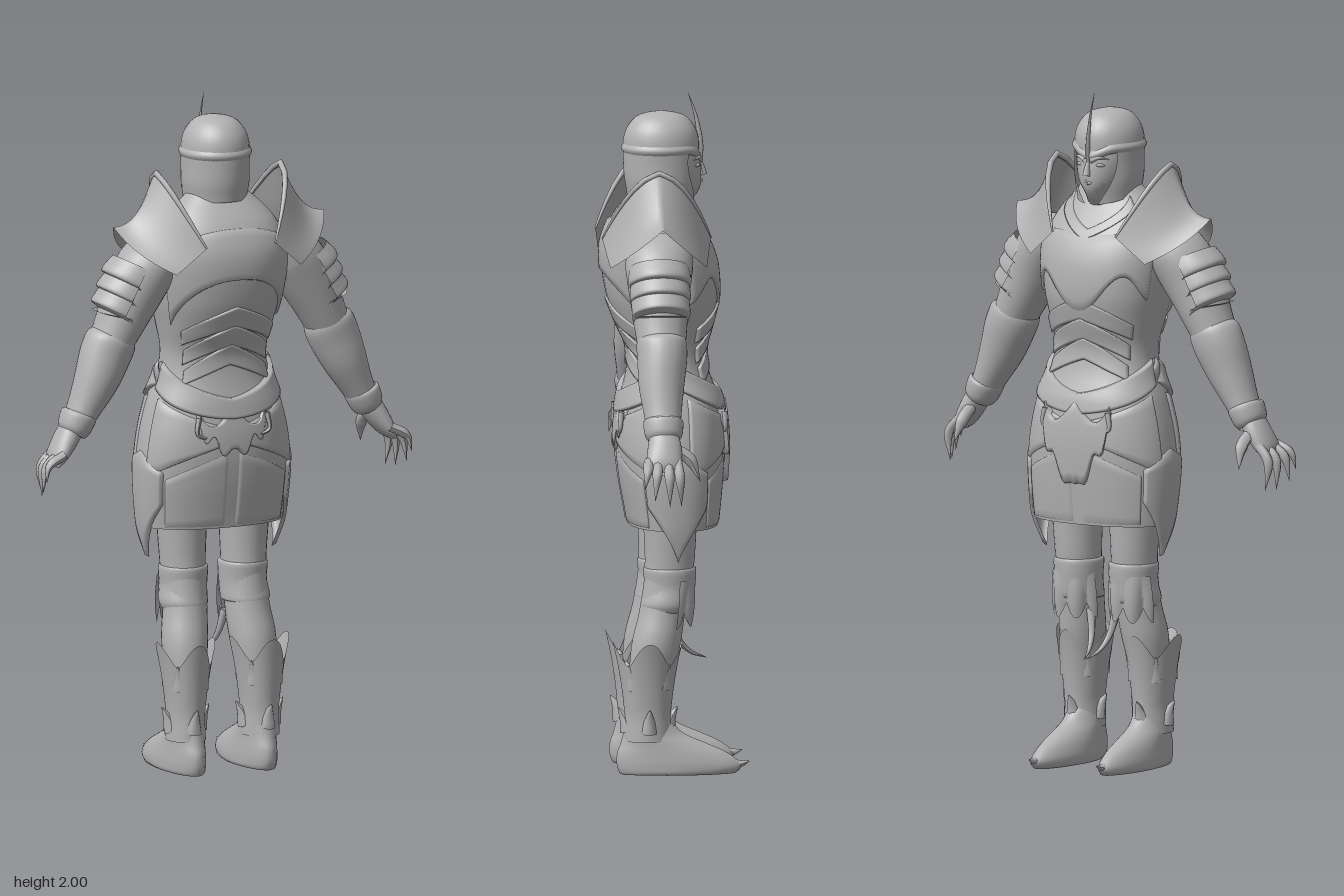
import * as THREE from 'three';

const { sin, cos, abs, PI, min, max, hypot } = Math;
const lerp = THREE.MathUtils.lerp;
const steel = new THREE.MeshStandardMaterial({ color: 0xb2b2b2, side: THREE.DoubleSide });
steel.name = 'steel grey';

// Smooth surface from fn(u, v) -> [x, y, z]; closed joins u = 1 to u = 0
function surface(name, nu, nv, fn, closed = false) {
  const pos = [], idx = [], cols = closed ? nu : nu + 1;
  for (let j = 0; j <= nv; j++)
    for (let i = 0; i < cols; i++) pos.push(...fn(i / nu, j / nv));
  for (let j = 0; j < nv; j++)
    for (let i = 0; i < nu; i++) {
      const a = j * cols + i, b = j * cols + (i + 1) % cols;
      idx.push(a, a + cols, b, b, a + cols, b + cols);
    }
  const g = new THREE.BufferGeometry();
  g.setAttribute('position', new THREE.Float32BufferAttribute(pos, 3));
  g.setIndex(idx);
  g.computeVertexNormals();
  const m = new THREE.Mesh(g, steel);
  m.name = name;
  return m;
}

// Catmull-Rom blend of table rows
function blend(rows, k, t) {
  const r = i => rows[max(0, min(rows.length - 1, i))];
  return rows[k].map((_, c) => {
    const [a, b, d, e] = [r(k - 1)[c], r(k)[c], r(k + 1)[c], r(k + 2)[c]];
    return 0.5 * (2 * b + (d - a) * t + (2 * a - 5 * b + 4 * d - e) * t * t + (3 * b - a - 3 * d + e) * t ** 3);
  });
}
const along = (rows, v) => {
  const s = v * (rows.length - 1), k = min(Math.floor(s), rows.length - 2);
  return blend(rows, k, s - k);
};

// Tube of oval rings [x, y, z, width radius, depth radius] square to its path
function loft(name, rows, a0 = 0, a1 = 2 * PI) {
  const full = a1 - a0 > 6.28;
  return surface(name, full ? 28 : 16, (rows.length - 1) * 4, (u, v) => {
    const [x, y, z, rx, rz] = along(rows, v);
    const p = along(rows, max(0, v - 0.04)), q = along(rows, min(1, v + 0.04));
    const dx = q[0] - p[0], dy = q[1] - p[1], l = hypot(dx, dy) || 1, a = lerp(a0, a1, u);
    const s = sin(a) * max(rx, 0.0005);
    return [x - s * dy / l, y + s * dx / l, z - cos(a) * max(rz, 0.0005)];
  }, full);
}

// Curved tapering spike; flat narrows it in x
function spike(name, pts, r, flat = 1, shape = t => (1 - t) ** 0.8) {
  const c = new THREE.CatmullRomCurve3(pts.map(p => new THREE.Vector3(...p)));
  const g = new THREE.TubeGeometry(c, 12, 1, 8);
  const P = g.attributes.position, w = new THREE.Vector3();
  for (let i = 0; i < P.count; i++) {
    const t = Math.floor(i / 9) / 12, o = c.getPointAt(t);
    w.fromBufferAttribute(P, i).sub(o).multiplyScalar(r * max(shape(t), 0.02));
    w.x *= flat;
    P.setXYZ(i, o.x + w.x, o.y + w.y, o.z + w.z);
  }
  g.computeVertexNormals();
  const m = new THREE.Mesh(g, steel);
  m.name = name;
  return m;
}

// Body profile: height, half width, front z, back z
const BODY = [
  [0.60, 0.196, -0.115, 0.11], [0.73, 0.221, -0.135, 0.13], [0.90, 0.232, -0.15, 0.158], [1.00, 0.222, -0.152, 0.163],
  [1.10, 0.198, -0.14, 0.15], [1.18, 0.168, -0.11, 0.132], [1.25, 0.16, -0.10, 0.13], [1.32, 0.172, -0.118, 0.16],
  [1.40, 0.19, -0.135, 0.19], [1.50, 0.203, -0.13, 0.205], [1.57, 0.202, -0.105, 0.2], [1.64, 0.17, -0.06, 0.17],
  [1.69, 0.125, -0.03, 0.13], [1.73, 0.085, -0.02, 0.10]];
function body(a, y, off = 0) {
  let k = 0;
  while (k < BODY.length - 2 && y > BODY[k + 1][0]) k++;
  const [, rx, f, b] = blend(BODY, k, (y - BODY[k][0]) / (BODY[k + 1][0] - BODY[k][0]));
  const round = w => Math.sign(w) * abs(w) ** 0.88;
  return [(rx + off) * round(sin(a)), y, (f + b) / 2 - ((b - f) / 2 + off) * round(cos(a))];
}

// Raised plate on the body between two edges; w runs -1..1 across it
function plate(name, mid, half, bottom, top, off) {
  return surface(name, 32, 10, (u, v) => {
    const w = u * 2 - 1, edge = u === 0 || u === 1 || v === 0 || v === 1;
    const vv = v === 0 || v === 1 ? v : lerp(0.02, 0.98, (v - 0.1) / 0.8);
    return body(mid + half * w, lerp(bottom(w), top(w), vv), edge ? -0.004 : off);
  });
}

function makeTorso() {
  const g = new THREE.Group();
  g.name = 'torso';
  g.add(surface('torsoAndSkirt', 48, 50, (u, v) => body(u * 2 * PI, lerp(0.73, 1.73, v)), true));
  for (const [side, mid] of [['front', 0], ['back', PI]]) {
    const front = mid === 0;
    // Upper plate with an arched lower edge
    g.add(plate(side + 'ChestPlate', mid, 1.25, w => front ? 1.41 - 0.05 * cos(w * 6) + 0.03 * w * w : 1.48 - 0.15 * w * w,
      w => 1.63 - 0.05 * (1 - abs(w)) * front - 0.06 * w * w, 0.008));
    // Pointed bands over the waist
    for (let i = 0; i < 3; i++)
      g.add(plate(side + 'WaistBand', mid, 1.0 - i * 0.05, w => 1.335 - i * 0.06 - 0.06 * abs(w),
        w => 1.4 - i * 0.06 - 0.08 * abs(w), 0.007));
    // Sweeping hip belt
    g.add(plate(side + 'Belt', mid, PI / 2, w => 1.06 + 0.09 * abs(w) ** 1.5, w => 1.12 + 0.1 * abs(w) ** 1.1, 0.014));
    // Hanging scrolled ornament
    g.add(plate(side + 'Ornament', mid, 0.52, w => (front ? 0.83 : 0.95) + (front ? 0.2 : 0.09) * abs(w) + 0.02 * cos(w * 14),
      w => 1.1 - 0.06 * abs(sin(w * PI)), front ? 0.018 : 0.009));
    // Skirt panels
    for (const s of [-1, 1]) {
      g.add(plate(side + 'UpperSkirtPanel', mid + s * 0.75, 0.62, w => 0.93 - 0.05 * s * w, w => 1.08 + 0.04 * s * w, 0.006));
      g.add(plate(side + 'LowerSkirtPanel', mid + s * 0.5, 0.46, () => 0.735, w => 0.92 - 0.04 * s * w, 0.003));
      // Curled scroll beside the ornament
      const z = body(mid + s * 0.3, 1.03, 0.006)[2];
      g.add(spike(side + 'Scroll', [[s * 0.11, 1.07, z * 0.98], [s * 0.115, 1.02, z], [s * 0.08, 1.01, z], [s * 0.072, 1.04, z]], 0.009));
    }
  }
  for (const s of [-1, 1]) // Pointed side panels and belt tips
    g.add(plate('sideSkirtPanel', s * PI / 2, 0.6, w => 0.635 + 0.17 * abs(w) ** 0.8, w => 0.96 - 0.06 * abs(w), 0.009),
      spike('beltTip', [[s * 0.165, 1.16, 0.01], [s * 0.18, 1.2, 0.01], [s * 0.172, 1.225, 0.01]], 0.025, 0.6));
  // Neckline
  g.add(plate('collar', 0, 0.9, w => 1.57 + 0.1 * abs(w), w => 1.6 + 0.1 * abs(w), 0.006));
  return g;
}

function makeHead() {
  const g = new THREE.Group();
  g.name = 'head';
  g.add(loft('face', [[0, 1.64, 0.04, 0.06, 0.06], [0, 1.7, 0.01, 0.045, 0.085], [0, 1.74, 0.012, 0.07, 0.1],
    [0, 1.8, 0.02, 0.085, 0.106], [0, 1.87, 0.03, 0.09, 0.1]]));
  const shell = [[0.092, 0.1], [0.099, 0.108], [0.099, 0.111], [0.1, 0.112]];
  // Cheek and neck guard open around the face
  g.add(surface('helmetGuard', 40, 12, (u, v) => {
    const gap = 0.25 + 0.6 * sin(min(1, v * 1.4) * PI / 2), a = lerp(gap, 2 * PI - gap, u), [rx, rz] = along(shell, v);
    return [rx * sin(a), lerp(1.7, 1.85, v) - 0.03 * (1 - v) * max(0, cos(a)), 0.03 - rz * cos(a)];
  }));
  g.add(loft('helmetDome', [[0, 1.83, 0.03, 0.1, 0.112], [0, 1.87, 0.03, 0.097, 0.11], [0, 1.905, 0.03, 0.084, 0.096],
    [0, 1.935, 0.03, 0.054, 0.064], [0, 1.948, 0.03, 0, 0]]));
  // Brow band dips at the front
  g.add(surface('browBand', 48, 6, (u, v) => {
    const a = u * 2 * PI, r = 0.006 * sin(v * PI);
    return [(0.1 + r) * sin(a), 1.826 + v * 0.026 - 0.025 * max(0, cos(a)) ** 8, 0.03 - (0.111 + r) * cos(a)];
  }, true));
  g.add(spike('crest', [[0, 1.8, -0.08], [0, 1.84, -0.085], [0, 1.92, -0.075], [0, 2.0, -0.05]], 0.012, 0.5));
  g.add(spike('nose', [[0, 1.757, -0.093], [0, 1.775, -0.09], [0, 1.82, -0.08]], 0.013, 0.9));
  for (const s of [-1, 1]) {
    g.add(spike('brow', [[s * 0.01, 1.802, -0.085], [s * 0.035, 1.812, -0.079], [s * 0.06, 1.806, -0.06]], 0.008));
    g.add(spike('eye', [[s * 0.02, 1.787, -0.08], [s * 0.034, 1.79, -0.076], [s * 0.05, 1.787, -0.066]], 0.006, 1, t => sin(PI * t)));
    g.add(spike('lips', [[0, 1.738 + s * 0.003, -0.087], [s * 0.02, 1.737, -0.082]], 0.006));
  }
  return g;
}

function makeArm() {
  const g = new THREE.Group();
  g.name = 'arm';
  // Flared shoulder guard: arched inner rim sweeping to a rounded outer point
  const rimPoint = t => {
    const q = 1 - t * t;
    return [0.11 + 0.09 * q, 1.585 + 0.17 * q + 0.035 * (1 - abs(t)), 0.053 + t * 0.16];
  };
  g.add(surface('shoulderGuard', 32, 12, (u, v) => {
    const t = u * 2 - 1, k = 1 - abs(t), q = 1 - t * t, [x, y, z] = rimPoint(t);
    return [lerp(x, 0.2 + 0.125 * q + 0.015 * k ** 4, v), lerp(y, 1.51 + 0.13 * k, v) - 0.045 * sin(v * PI) * q,
      lerp(z, 0.055 + t * 0.142, v)];
  }));
  const rim = [];
  for (let i = -6; i <= 6; i++) rim.push(rimPoint(i / 6));
  g.add(spike('shoulderRim', rim, 0.009, 1, t => sin(PI * (0.1 + t * 0.8))));
  g.add(loft('upperArm', [[0.15, 1.56, 0.05, 0.05, 0.08], [0.22, 1.53, 0.055, 0.085, 0.1], [0.28, 1.44, 0.06, 0.085, 0.088],
    [0.33, 1.34, 0.06, 0.07, 0.076], [0.37, 1.26, 0.06, 0.06, 0.065]]));
  // Overlapping arm bands on the outside
  for (let i = 0; i < 3; i++) {
    const x = 0.262 + i * 0.02, y = 1.52 - i * 0.042, r = 0.094 - i * 0.003;
    g.add(loft('armBand', [[x, y, 0.06, 0.08, 0.086], [x + 0.014, y - 0.028, 0.06, r - 0.003, r - 0.001], [x + 0.026, y - 0.05, 0.06, r, r - 0.001],
      [x + 0.027, y - 0.052, 0.06, 0.076, 0.08]], 0.15, PI - 0.15));
  }
  g.add(loft('forearmGuard', [[0.342, 1.325, 0.06, 0.062, 0.066], [0.35, 1.305, 0.06, 0.076, 0.074], [0.37, 1.26, 0.06, 0.077, 0.073], [0.4, 1.19, 0.065, 0.067, 0.067],
    [0.44, 1.11, 0.065, 0.05, 0.055], [0.475, 1.045, 0.065, 0.04, 0.048]]));
  g.add(spike('elbowPoint', [[0.41, 1.2, 0.08], [0.41, 1.27, 0.085], [0.38, 1.37, 0.085]], 0.032));
  g.add(loft('cuff', [[0.452, 1.1, 0.065, 0.045, 0.05], [0.456, 1.09, 0.065, 0.053, 0.059], [0.472, 1.055, 0.065, 0.049, 0.055], [0.48, 1.04, 0.065, 0.04, 0.045]]));
  g.add(loft('palm', [[0.475, 1.06, 0.065, 0.035, 0.042], [0.5, 1.02, 0.065, 0.034, 0.05], [0.53, 0.975, 0.07, 0.025, 0.052], [0.545, 0.95, 0.072, 0.01, 0.045]]));
  // Clawed fingers and thumb
  const tips = [[0.553, 0.855, 0.02], [0.57, 0.855, 0.055], [0.586, 0.875, 0.1], [0.588, 0.91, 0.13]];
  tips.forEach(([x, y, z], i) => {
    const r = 0.03 + i * 0.028;
    g.add(spike('finger', [[0.525, 0.985, r], [0.56 + i * 0.006, 0.94 + i * 0.005, lerp(r, z, 0.5)], [x, y, z]], 0.0145, 1, t => min(1, 1.8 * (1 - t))));
  });
  g.add(spike('thumb', [[0.49, 1.02, 0.04], [0.49, 0.985, -0.01], [0.5, 0.92, -0.04]], 0.018, 1, t => min(1, 2 * (1 - t))));
  return g;
}

function makeLeg() {
  const g = new THREE.Group();
  g.name = 'leg';
  g.add(loft('legCore', [[0.1, 0.95, 0.01, 0.08, 0.1], [0.1, 0.75, 0.012, 0.074, 0.08], [0.098, 0.6, 0.015, 0.066, 0.072], [0.1, 0.48, 0.035, 0.066, 0.068],
    [0.11, 0.38, 0.055, 0.068, 0.072], [0.115, 0.25, 0.075, 0.052, 0.062], [0.115, 0.1, 0.09, 0.048, 0.055]]));
  g.add(loft('kneeBand', [[0.096, 0.61, 0.013, 0.064, 0.07], [0.096, 0.602, 0.013, 0.073, 0.078], [0.096, 0.55, 0.013, 0.07, 0.075], [0.1, 0.5, 0.022, 0.072, 0.078],
    [0.1, 0.49, 0.025, 0.062, 0.066]]));
  // Ridged knee plate ending in points over the shin
  g.add(surface('kneePlate', 48, 10, (u, v) => {
    const a = (u * 2 - 1) * 1.25, ridge = abs(cos(u * 3 * PI)), y = lerp(0.575, 0.48 - 0.045 * ridge, v);
    const r = 0.07 + 0.009 * ridge * sin(v * PI * 0.8) + 0.004;
    return [0.099 + r * sin(a), y, lerp(0.013, 0.026, v) - r * cos(a)];
  }));
  g.add(spike('innerHook', [[0.045, 0.46, 0.0], [0.03, 0.385, -0.02], [0.017, 0.345, -0.055], [0.002, 0.325, -0.105]], 0.014));
  // Boot shaft flaring into four broad points
  g.add(surface('bootShaft', 64, 16, (u, v) => {
    const a = u * 2 * PI, point = abs(cos(2 * a)) ** 1.6;
    const r = 0.054 + 0.012 * abs(v - 0.3) + (0.01 + 0.018 * point) * v ** 2.2;
    return [0.119 + r * sin(a), lerp(0.1, 0.325 + 0.07 * point, v), 0.08 - (r + 0.013) * cos(a)];
  }, true));
  for (let i = 0; i < 8; i++) { // Broad thorns around the ankle and diagonals of the rim
    const a = i * PI / 4, high = (i % 2) * 0.13;
    const at = (r, y) => [0.119 + sin(a) * r, y + high, 0.08 - cos(a) * (r + 0.012)];
    g.add(spike('bootThorn', [at(0.044, 0.13), at(0.056, 0.165), at(0.076, 0.2)], 0.026));
  }
  // Foot as stacked outlines narrowing to the toe: height, front z, back z, half width
  const foot = [[0, -0.165, 0.15, 0.01], [0.001, -0.18, 0.16, 0.056], [0.025, -0.195, 0.17, 0.063], [0.06, -0.155, 0.17, 0.06],
    [0.09, -0.09, 0.16, 0.056], [0.12, -0.025, 0.152, 0.053], [0.16, 0.012, 0.145, 0.05]];
  g.add(surface('foot', 32, 24, (u, v) => {
    const a = u * 2 * PI, [y, f, b, w] = along(foot, v), c = cos(a);
    return [0.115 + 0.006 * max(0, c) * (1 - v) + w * sin(a) * (1 - 0.2 * max(0, c)), max(0, y), (f + b) / 2 - (b - f) / 2 * c];
  }, true));
  g.add(surface('sole', 32, 1, (u, v) => [0.117 + v * 0.054 * sin(u * 2 * PI), 0.001, -0.01 - v * 0.17 * cos(u * 2 * PI)], true));
  g.add(spike('toePoint', [[0.12, 0.03, -0.15], [0.119, 0.026, -0.19], [0.118, 0.034, -0.22]], 0.022));
  return g;
}

export function createModel() {
  const model = new THREE.Group();
  model.name = 'armouredFigure';
  model.add(makeTorso(), makeHead());
  for (const make of [makeArm, makeLeg]) {
    const one = make(), other = one.clone();
    other.scale.x = -1;
    one.name += 'Left';
    other.name += 'Right';
    model.add(one, other);
  }
  return model;
}
